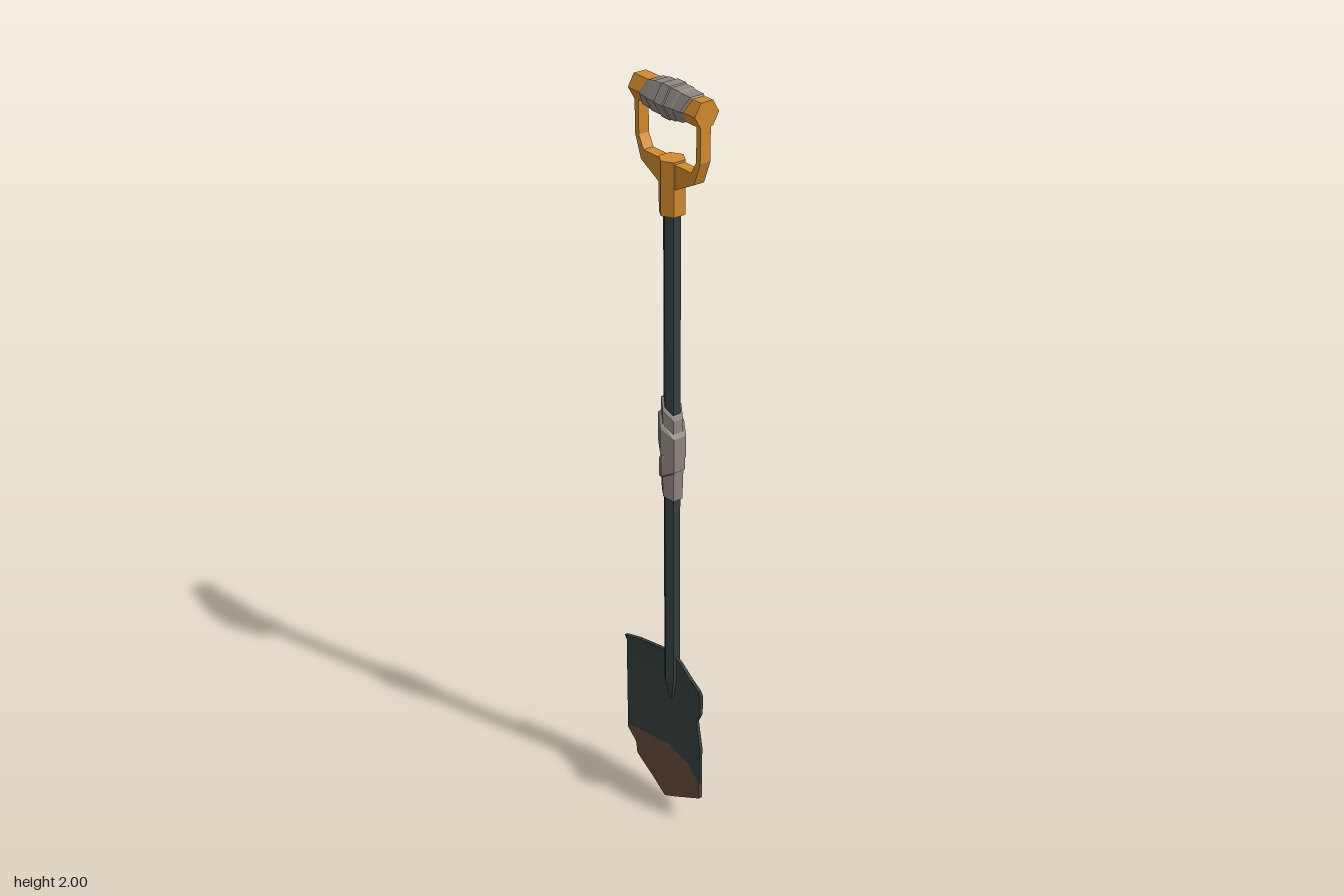
import * as THREE from 'three';

const mat = (name, color) => {
  const m = new THREE.MeshStandardMaterial({ color });
  m.name = name;
  return m;
};

// Faceted normals for the low-poly look
function flat(geometry) {
  const g = geometry.index ? geometry.toNonIndexed() : geometry;
  g.computeVertexNormals();
  return g;
}

// Six-sided sleeve along y; each row is [y, radius, slant of the ring]
function sleeve(rows) {
  const n = rows.length;
  const g = new THREE.LatheGeometry(rows.map(([y, r]) => new THREE.Vector2(r, y)), 6);
  const p = g.attributes.position;
  for (let i = 0; i < p.count; i++) p.setY(i, p.getY(i) + p.getX(i) * rows[i % n][2]);
  return flat(g);
}

// Thin plate from a grid of front points (rows run downwards, columns run to +x)
function plate(rows, thickness) {
  const R = rows.length, C = rows[0].length, pos = [], idx = [];
  for (const dz of [0, -thickness])
    for (const row of rows) for (const [x, y, z] of row) pos.push(x, y, z + dz);
  const front = (r, c) => r * C + c, back = (r, c) => R * C + r * C + c;
  const quad = (a, b, c, d) => idx.push(a, b, c, a, c, d);
  for (let r = 0; r < R - 1; r++) {
    for (let c = 0; c < C - 1; c++) {
      quad(front(r, c), front(r + 1, c), front(r + 1, c + 1), front(r, c + 1));
      quad(back(r, c), back(r, c + 1), back(r + 1, c + 1), back(r + 1, c));
    }
    quad(front(r, 0), back(r, 0), back(r + 1, 0), front(r + 1, 0));
    quad(front(r, C - 1), front(r + 1, C - 1), back(r + 1, C - 1), back(r, C - 1));
  }
  for (let c = 0; c < C - 1; c++) {
    quad(front(0, c), front(0, c + 1), back(0, c + 1), back(0, c));
    quad(front(R - 1, c), back(R - 1, c), back(R - 1, c + 1), front(R - 1, c + 1));
  }
  const g = new THREE.BufferGeometry();
  g.setAttribute('position', new THREE.Float32BufferAttribute(pos, 3));
  g.setIndex(idx);
  return flat(g);
}

export function createModel() {
  const group = new THREE.Group();
  group.name = 'shovel';
  const steel = mat('dark steel', 0x35403f);
  const orange = mat('orange plastic', 0xd08a2e);
  const tape = mat('grey tape', 0x8f8780);
  const rust = mat('rust', 0x65493c);

  const add = (name, geometry, material, x = 0, y = 0, z = 0) => {
    const m = new THREE.Mesh(geometry, material);
    m.name = name;
    m.position.set(x, y, z);
    group.add(m);
    return m;
  };
  const hex = (r, h) => flat(new THREE.CylinderGeometry(r, r, h, 6));

  // Shaft, with a tapered foot running into the blade
  add('shaft', hex(0.0215, 1.34), steel, 0, 1.06, 0);
  const foot = new THREE.CylinderGeometry(0.0215, 0.008, 0.06, 6);
  const fp = foot.attributes.position;
  for (let i = 0; i < fp.count; i++) if (fp.getY(i) < 0) fp.setZ(i, fp.getZ(i) + 0.002);
  add('shaftFoot', flat(foot), steel, 0, 0.36, 0);

  // Collar and forked yoke
  add('collar', hex(0.032, 0.13), orange, 0, 1.765, 0);
  const half = [[0.026, 1.765], [0.095, 1.80], [0.116, 1.855], [0.116, 1.965],
    [0.102, 1.965], [0.102, 1.855], [0.085, 1.825]];
  const outline = [...half, ...half.map(([x, y]) => [-x, y]).reverse()];
  const yoke = new THREE.ExtrudeGeometry(
    new THREE.Shape(outline.map(([x, y]) => new THREE.Vector2(x, y))),
    { depth: 0.028, bevelEnabled: false });
  add('yoke', flat(yoke), orange, 0, 0, -0.014);

  // Grip bar and its tape
  add('grip', hex(0.033, 0.235), orange, 0, 1.964, -0.002).rotation.z = Math.PI / 2;
  const gripTape = sleeve([[-0.078, 0.032, -0.4], [-0.07, 0.037, -0.4], [-0.045, 0.039, -0.2],
    [-0.042, 0.041, -0.15], [-0.012, 0.041, 0], [-0.01, 0.044, 0], [0.019, 0.044, 0],
    [0.021, 0.041, 0], [0.042, 0.041, -0.15], [0.046, 0.038, -0.2],
    [0.072, 0.037, -0.4], [0.078, 0.032, -0.4]]);
  add('gripTape', gripTape, tape, 0, 1.964, -0.001).rotation.z = -Math.PI / 2;

  // Three overlapping windings of tape on the shaft
  const windings = [
    [[0.955, 0.02, -0.4], [0.96, 0.027, -0.4], [1.04, 0.03, 0.5], [1.045, 0.021, 0.5]],
    [[1.01, 0.021, 0.6], [1.02, 0.034, 0.6], [1.07, 0.034, 0.6], [1.085, 0.029, 0.7],
      [1.105, 0.029, 0]],
    [[1.075, 0.021, -0.5], [1.085, 0.036, -0.5], [1.155, 0.036, -0.8], [1.165, 0.028, -1],
      [1.2, 0.028, -1], [1.208, 0.02, -1]],
  ];
  windings.forEach((rows, i) => add('shaftTape' + (i + 1), sleeve(rows), tape));

  // Blade columns: x, top edge, rust line, lower edge
  const columns = [
    [-0.155, 0.455, 0.15, 0.14], [-0.122, 0.459, 0.158, 0.11], [-0.115, 0.46, 0.16, 0.075],
    [-0.05, 0.467, 0.165, 0.035], [0, 0.474, 0.174, 0], [0.05, 0.466, 0.174, 0.031],
    [0.1, 0.45, 0.177, 0.065], [0.155, 0.457, 0.145, 0.1],
  ];
  // Dished surface: a low spine rising to raised side edges
  const depth = (x, y) => {
    const a = Math.abs(x), spine = Math.max(-0.003, 0.025 - 0.076 * y);
    const shoulder = 0.026 - 0.022 * Math.min(1, y / 0.4);
    return a < 0.1
      ? THREE.MathUtils.lerp(spine, shoulder + 0.008, a / 0.1)
      : THREE.MathUtils.lerp(shoulder + 0.008, 0.031, (a - 0.1) / 0.055);
  };
  const point = (x, y, lift = 0) => [x, y, depth(x, y) + lift];
  const last = columns.length - 1;
  // Side rows carry the chipped notch on the +x edge
  const sideRow = (y, edge) => columns.map(([x], i) => point(i === last ? edge : x, y));
  const steelRows = [
    columns.map(([x, top]) => point(x, top, 0.006)),
    columns.map(([x, top]) => point(x, top - 0.018)),
    sideRow(0.38, 0.155), sideRow(0.34, 0.132), sideRow(0.27, 0.155),
    columns.map(([x, , line]) => point(x, line)),
  ];
  const rustRows = [0, 0.5, 1].map(t => columns.map(([x, , line, low]) =>
    point(x, THREE.MathUtils.lerp(line, low, t))));
  add('blade', plate(steelRows, 0.009), steel);
  add('rustyTip', plate(rustRows, 0.009), rust);

  return group;
}
